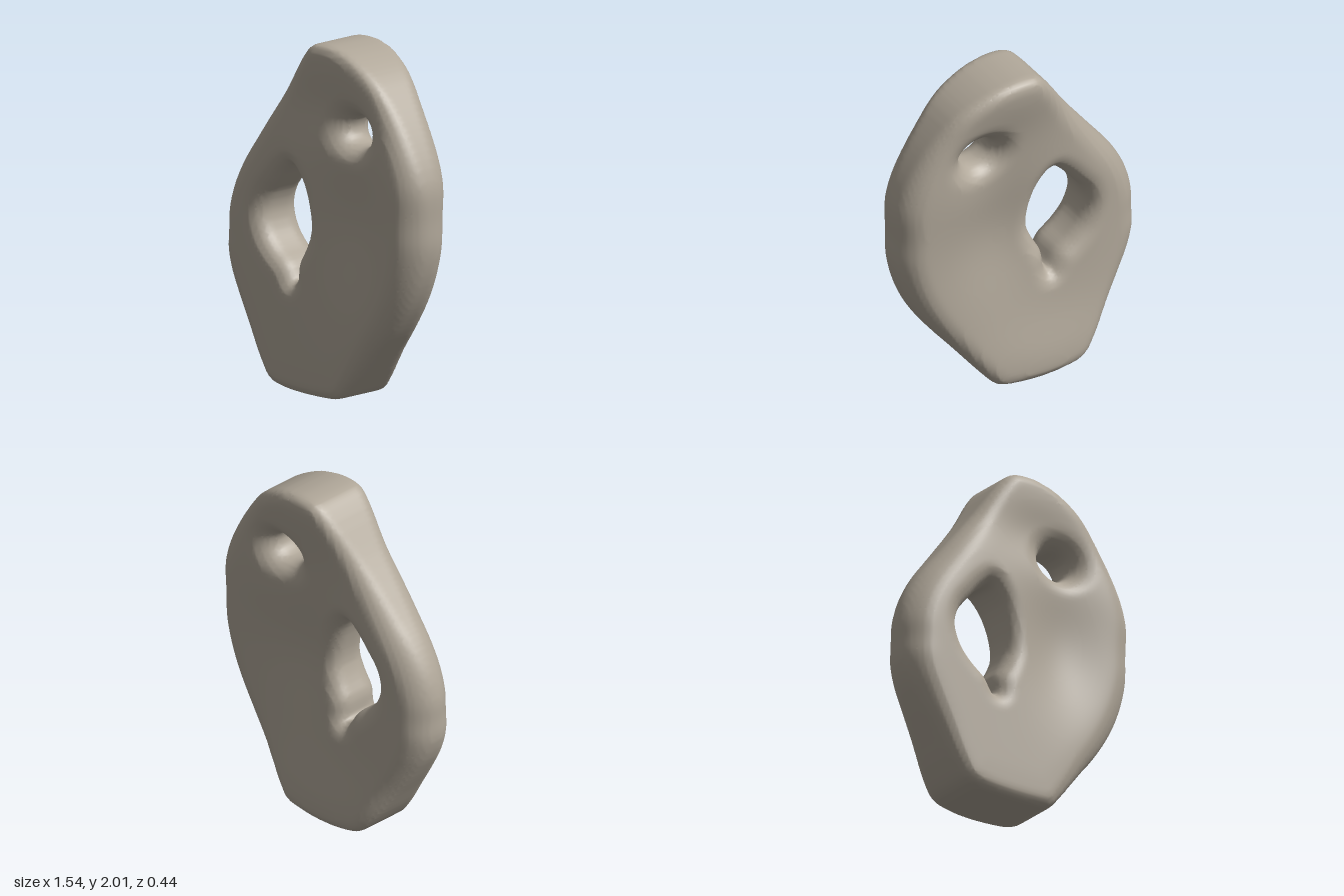
import * as THREE from 'three';

// Outline of the slab and of its long opening, in the xy plane
const OUTLINE = [
  [0.02, 2.0], [0.12, 1.995], [0.25, 1.96], [0.42, 1.86], [0.56, 1.70], [0.675, 1.52], [0.74, 1.38], [0.768, 1.27],
  [0.77, 1.1], [0.768, 0.94], [0.73, 0.78], [0.66, 0.62], [0.55, 0.45], [0.42, 0.29], [0.25, 0.08], [0.19, 0.02],
  [0.1, 0], [-0.25, 0], [-0.37, 0.03], [-0.45, 0.12], [-0.565, 0.30], [-0.665, 0.46], [-0.73, 0.58], [-0.768, 0.70],
  [-0.77, 0.82], [-0.768, 0.94], [-0.73, 1.08], [-0.65, 1.23], [-0.5, 1.425], [-0.305, 1.675], [-0.125, 1.925], [-0.06, 1.985],
];
const LONG_HOLE = [
  [-0.21, 1.275], [-0.27, 1.24], [-0.36, 1.14], [-0.42, 1.06], [-0.445, 0.96], [-0.41, 0.85], [-0.34, 0.77],
  [-0.25, 0.70], [-0.19, 0.615], [-0.172, 0.63], [-0.16, 0.73], [-0.11, 0.83], [-0.08, 0.92], [-0.09, 1.05], [-0.14, 1.2],
];

const smoothLoop = (pts) => new THREE.CatmullRomCurve3(
  pts.map(([x, y]) => new THREE.Vector3(x, y, 0)), true, 'centripetal').getPoints(120);

// Signed distance to a closed loop, negative inside
function loopDistance(loop, x, y) {
  let best = Infinity, inside = false;
  for (let i = 0; i < loop.length - 1; i++) {
    const a = loop[i], b = loop[i + 1];
    const ex = b.x - a.x, ey = b.y - a.y, px = x - a.x, py = y - a.y;
    const t = Math.min(1, Math.max(0, (px * ex + py * ey) / (ex * ex + ey * ey || 1)));
    best = Math.min(best, Math.hypot(px - t * ex, py - t * ey));
    if ((a.y > y) !== (b.y > y) && x < a.x + ((y - a.y) / ey) * ex) inside = !inside;
  }
  return inside ? -best : best;
}

const bump = (x, y, cx, cy, rx, ry) => Math.exp(-(((x - cx) / rx) ** 2) - ((y - cy) / ry) ** 2);

// Dished front and back faces
const frontZ = (x, y) => 0.214
  - 0.07 * bump(x, y, 0.27, 1.03, 0.27, 0.4)
  - 0.05 * bump(x, y, 0.15, 1.65, 0.42, 0.2)
  - 0.02 * bump(x, y, 0.1, 2.0, 0.6, 0.2);
const backZ = (x, y) => -0.148
  - 0.08 * bump(x, y, 0.05, 1.98, 0.5, 0.3)
  - 0.07 * bump(x, y, -0.1, 0.05, 0.55, 0.3)
  - 0.015 * bump(x, y, 0.5, 1.35, 0.25, 0.3)
  + 0.07 * bump(x, y, 0.13, 0.95, 0.33, 0.38)
  + 0.02 * bump(x, y, 0.27, 1.5, 0.18, 0.18)
  + 0.03 * bump(x, y, -0.75, 0.9, 0.25, 0.6);

// Intersection of two distances with an edge rounded by r
const roundMax = (a, b, r) =>
  Math.min(-r, Math.max(a, b)) + Math.hypot(Math.max(r + a, 0), Math.max(r + b, 0));

// Turn a sampled field into a smooth closed surface (one vertex per crossed cell)
function surfaceFromField(columnAt, min, size, step) {
  const n = size.map((s) => Math.ceil(s / step) + 1);
  const stride = [1, n[0], n[0] * n[1]];
  const field = new Float32Array(n[0] * n[1] * n[2]);
  for (let j = 0; j < n[1]; j++) for (let i = 0; i < n[0]; i++) {
    const column = columnAt(min[0] + i * step, min[1] + j * step);
    for (let k = 0; k < n[2]; k++) field[i + j * stride[1] + k * stride[2]] = column(min[2] + k * step);
  }
  const positions = [], indices = [], cellVertex = new Int32Array(field.length).fill(-1);
  const cells = (visit) => {
    for (let k = 0; k < n[2] - 1; k++) for (let j = 0; j < n[1] - 1; j++) for (let i = 0; i < n[0] - 1; i++)
      visit([i, j, k], i + j * stride[1] + k * stride[2]);
  };
  // Vertex at the mean of the edge crossings
  cells((c, id) => {
    const sum = [0, 0, 0];
    let count = 0;
    for (let corner = 0; corner < 8; corner++) for (let a = 0; a < 3; a++) {
      if (corner & (1 << a)) continue;
      const o = [corner & 1, (corner >> 1) & 1, (corner >> 2) & 1];
      const p = id + o[0] * stride[0] + o[1] * stride[1] + o[2] * stride[2];
      const u = field[p], v = field[p + stride[a]];
      if ((u < 0) === (v < 0)) continue;
      o[a] = u / (u - v);
      for (let d = 0; d < 3; d++) sum[d] += o[d];
      count++;
    }
    if (!count) return;
    cellVertex[id] = positions.length / 3;
    for (let d = 0; d < 3; d++) positions.push(min[d] + (c[d] + sum[d] / count) * step);
  });
  // One quad around each crossed grid edge
  cells((c, id) => {
    for (let a = 0; a < 3; a++) {
      const b = (a + 1) % 3, d = (a + 2) % 3;
      if (!c[b] || !c[d] || (field[id] < 0) === (field[id + stride[a]] < 0)) continue;
      const q = [id, id - stride[b], id - stride[b] - stride[d], id - stride[d]].map((e) => cellVertex[e]);
      if (field[id] >= 0) q.reverse();
      indices.push(q[0], q[1], q[2], q[0], q[2], q[3]);
    }
  });
  const geometry = new THREE.BufferGeometry();
  geometry.setAttribute('position', new THREE.Float32BufferAttribute(positions, 3));
  geometry.setIndex(indices);
  geometry.computeVertexNormals();
  return geometry;
}

export function createModel() {
  const group = new THREE.Group();
  group.name = 'piercedStone';
  const stone = new THREE.MeshStandardMaterial({ color: 0xb0a799 });
  stone.name = 'warm grey stone';

  const outline = smoothLoop(OUTLINE), longHole = smoothLoop(LONG_HOLE);
  const columnAt = (x, y) => {
    const edge = loopDistance(outline, x, y);
    const slit = -loopDistance(longHole, x, y);
    const eye = 0.095 - Math.hypot((x - 0.27) * 0.905, (y - 1.54) * 1.09);
    // The slab thins close to its long sides
    const taper = Math.exp(-((Math.min(edge, 0) / 0.1) ** 2) - ((y - 1) / 0.65) ** 2);
    const front = frontZ(x, y) - 0.035 * taper, back = backZ(x, y) + 0.015 * taper;
    const edgeRadius = Math.max(0.06, 0.14 - 0.08 * (y - 1) ** 2);
    return (z) => {
      const slab = Math.max(z - front, back - z);
      return Math.max(
        roundMax(edge, slab, edgeRadius),
        roundMax(slit, slab, 0.11),
        roundMax(eye, slab, 0.135));
    };
  };
  const geometry = surfaceFromField(columnAt, [-0.83, -0.06, -0.3], [1.66, 2.12, 0.6], 0.022);

  const body = new THREE.Mesh(geometry, stone);
  body.name = 'stoneBody';
  group.add(body);
  return group;
}
